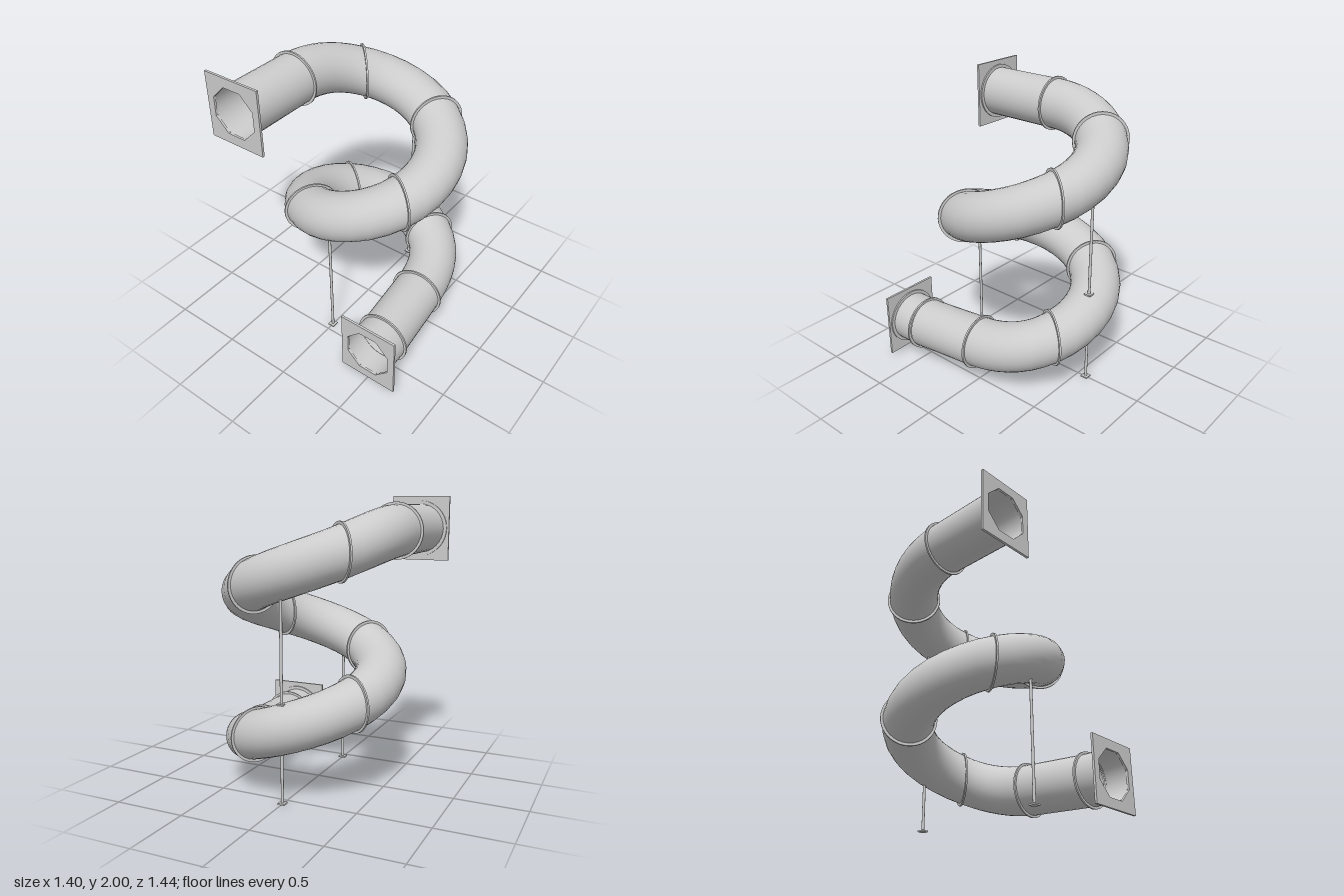
import * as THREE from 'three';

const TUBE_R = 0.177, HELIX_R = 0.46, CX = 0.0625;
const V = (x, y, z) => new THREE.Vector3(x, y, z);
const rad = THREE.MathUtils.degToRad;

// Spiral centre line: a in degrees, descending as it turns from back to left to front
const helix = a => V(CX + HELIX_R * Math.cos(rad(a)), 1.43 - 0.255 * (a - 33.5) / 90, HELIX_R * Math.sin(rad(a)));
const helixDir = a => V(-Math.sin(rad(a)), -0.353, Math.cos(rad(a)));

// Path functions of t in 0..1
const spiral = (a0, a1) => t => helix(a0 + (a1 - a0) * t);
const straight = (p, q) => t => p.clone().lerp(q, t);
const bend = (p, dp, q, dq, len) => t => {
  const s = t * t, c = s * t;
  return V(0, 0, 0)
    .addScaledVector(p, 2 * c - 3 * s + 1).addScaledVector(dp, (c - 2 * s + t) * len)
    .addScaledVector(q, 3 * s - 2 * c).addScaledVector(dq, (c - s) * len);
};

// Horizontal heading of a path, so every cross-section stays upright
function heading(path, t) {
  const d = path(t + 0.001).sub(path(t - 0.001));
  d.y = 0;
  return d.normalize();
}

// Open tube made of upright circles along the path
function tubeGeometry(path, steps, sides = 32) {
  const pos = [], index = [];
  for (let i = 0; i <= steps; i++) {
    const p = path(i / steps), d = heading(path, i / steps);
    for (let j = 0; j < sides; j++) {
      const a = j / sides * Math.PI * 2, c = Math.cos(a) * TUBE_R;
      pos.push(p.x - d.z * c, p.y + Math.sin(a) * TUBE_R, p.z + d.x * c);
      if (i === steps) continue;
      const k = (j + 1) % sides, u = i * sides, w = u + sides;
      index.push(u + j, u + k, w + j, u + k, w + k, w + j);
    }
  }
  const g = new THREE.BufferGeometry();
  g.setAttribute('position', new THREE.Float32BufferAttribute(pos, 3));
  g.setIndex(index);
  g.computeVertexNormals();
  return g;
}

// Flat ring with a round hole, axis along z
function ringGeometry(inner, outer, width) {
  const s = new THREE.Shape().absarc(0, 0, outer, 0, Math.PI * 2);
  s.holes.push(new THREE.Path().absarc(0, 0, inner, 0, Math.PI * 2, true));
  return new THREE.ExtrudeGeometry(s, { depth: width, bevelEnabled: false, curveSegments: 20 }).translate(0, 0, -width / 2);
}

// Rectangular end plate with an eight-sided opening, axis along z
function plateGeometry(w, h, depth) {
  const s = new THREE.Shape([[-1, -1], [1, -1], [1, 1], [-1, 1]].map(([x, y]) => new THREE.Vector2(x * w / 2, y * h / 2)));
  const hole = [];
  for (let i = 0; i < 8; i++) {
    const a = -(i + 0.5) * Math.PI / 4;
    hole.push(new THREE.Vector2(Math.cos(a) * 0.177, Math.sin(a) * 0.177));
  }
  s.holes.push(new THREE.Path(hole));
  return new THREE.ExtrudeGeometry(s, { depth, bevelEnabled: false }).translate(0, 0, -depth / 2);
}

export function createModel() {
  const group = new THREE.Group();
  const grey = new THREE.MeshStandardMaterial({ color: 0xcccccc });
  const greyOpen = new THREE.MeshStandardMaterial({ color: 0xcccccc, side: THREE.DoubleSide });
  const add = (name, geometry, p, material = grey) => {
    const m = new THREE.Mesh(geometry, material);
    m.name = name;
    m.position.copy(p);
    group.add(m);
    return m;
  };

  // Tube sections from the upper entrance to the lower exit
  const entry = V(-0.69, 1.768, -0.507), entryEnd = V(-0.14, 1.768, -0.507);
  const runStart = V(-0.03, 0.276, 0.461), runEnd = V(-0.515, 0.256, 0.504), exit = V(-0.69, 0.256, 0.507);
  const sections = [
    ['entryTube', straight(entry, entryEnd), 1],
    ['entryBend', bend(entryEnd, V(1, 0, 0), helix(-45), helixDir(-45), 0.6), 8],
    ['spiralSection1', spiral(-45, 33.5), 7],
    ['spiralSection2', spiral(33.5, 123.5), 8],
    ['spiralSection3', spiral(123.5, 213.5), 8],
    ['spiralSection4', spiral(213.5, 303.5), 8],
    ['spiralSection5', spiral(303.5, 393.5), 8],
    ['exitBend', bend(helix(393.5), helixDir(33.5), runStart, V(-1, -0.08, 0.07), 0.56), 8],
    ['exitRun', straight(runStart, runEnd), 1],
    ['exitTube', straight(runEnd, exit), 1],
  ];
  const ring = ringGeometry(0.174, 0.194, 0.012);
  sections.forEach(([name, path, steps], i) => {
    add(name, tubeGeometry(path, steps), V(0, 0, 0), greyOpen);
    // Joint ring where this section meets the previous one
    if (i > 0) {
      const p = path(0), d = heading(path, 0);
      add('jointRing' + i, ring, p).rotation.y = Math.atan2(d.x, d.z);
    }
  });

  // End plates and collars
  const plate = plateGeometry(0.43, 0.465, 0.016), collar = ringGeometry(0.174, 0.2, 0.012);
  for (const [name, p] of [['entry', entry], ['exit', exit]]) {
    add(name + 'Plate', plate, V(-0.692, p.y, p.z)).rotation.y = Math.PI / 2;
    add(name + 'Collar', collar, V(-0.679, p.y, p.z)).rotation.y = Math.PI / 2;
  }

  // Support posts with square feet
  for (const [name, x, y0, y1] of [
    ['lowerLeftPost', 0.567, 0, 0.35],
    ['upperLeftPost', 0.567, 0.676, 1.37],
    ['rightPost', -0.443, 0, 0.86],
  ]) {
    add(name, new THREE.CylinderGeometry(0.01, 0.01, y1 - y0, 16), V(x, (y0 + y1) / 2, 0));
    add(name + 'Foot', new THREE.BoxGeometry(0.05, 0.01, 0.05), V(x, y0 + 0.005, 0));
  }
  return group;
}
